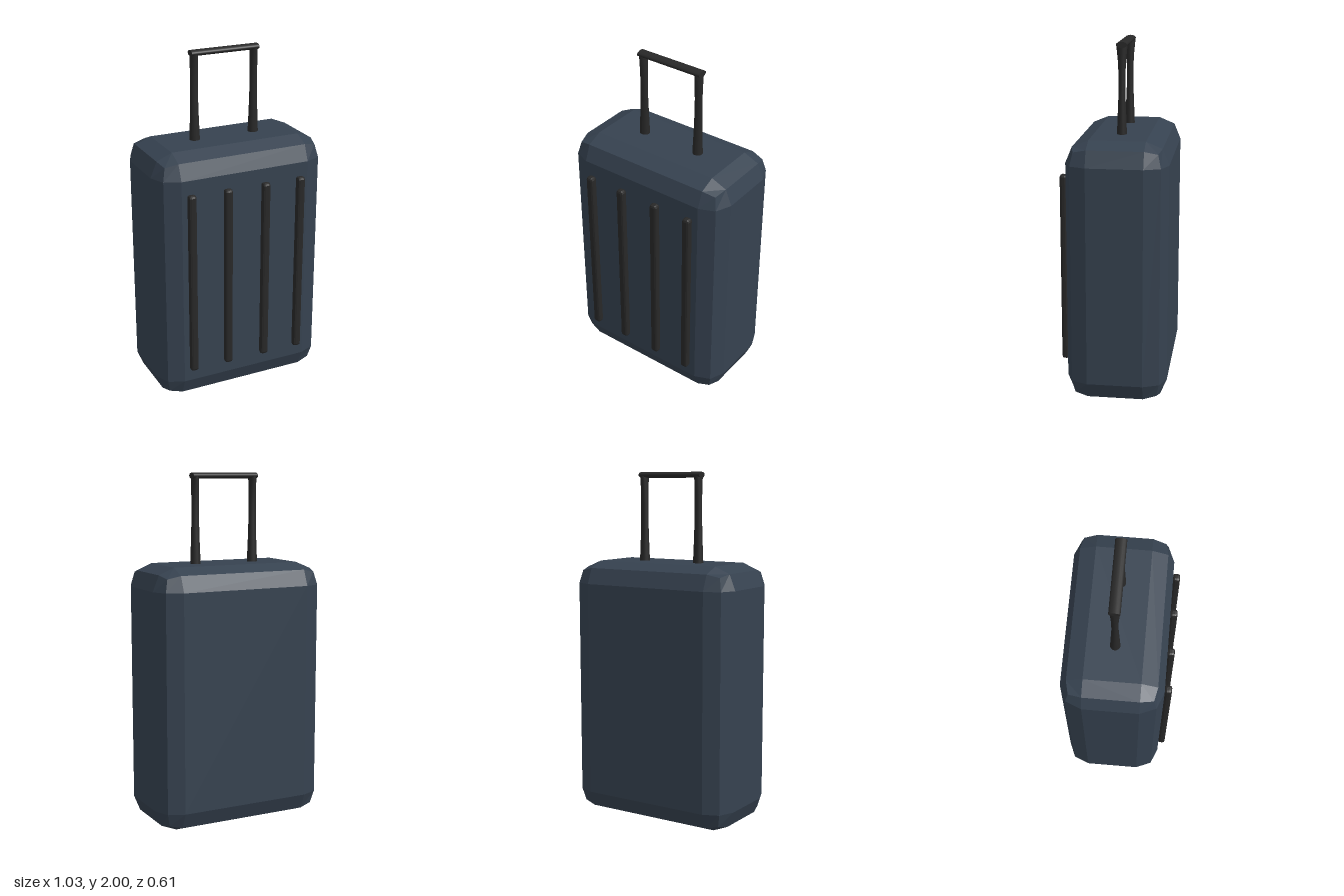
import * as THREE from 'three';
import { RoundedBoxGeometry } from 'three/addons/geometries/RoundedBoxGeometry.js';

const Z = -0.0225; // depth centre of the shell and handle

// Box with two-facet bevels and flat normals
function bevelBox(w, h, d, r) {
  const g = new RoundedBoxGeometry(w, h, d, 1, r);
  g.computeVertexNormals();
  return g;
}

export function createModel() {
  const shellBlue = new THREE.MeshStandardMaterial({ color: 0x364250, flatShading: true });
  shellBlue.name = 'slateBlue';
  const trimFlat = new THREE.MeshStandardMaterial({ color: 0x282828, flatShading: true });
  trimFlat.name = 'charcoalTrim';
  const trimSmooth = new THREE.MeshStandardMaterial({ color: 0x282828 });
  trimSmooth.name = 'charcoalHandle';

  const model = new THREE.Group();
  model.name = 'suitcase';
  const add = (parent, name, geometry, material, x, y, z) => {
    const mesh = new THREE.Mesh(geometry, material);
    mesh.name = name;
    mesh.position.set(x, y, z);
    parent.add(mesh);
    return mesh;
  };

  // Hard shell
  add(model, 'shell', bevelBox(1.026, 1.488, 0.565, 0.127), shellBlue, 0, 0.749, Z);

  // Upright ribs on the front
  const ribs = new THREE.Group();
  ribs.name = 'frontRibs';
  model.add(ribs);
  [-0.335, -0.118, 0.113, 0.332].forEach((x, i) =>
    add(ribs, `rib${i + 1}`, bevelBox(0.047, 1.08, 0.042, 0.014), trimFlat, x, 0.75, 0.28));

  // Pull handle: waisted legs that flare front to back where they meet the grip
  const handle = new THREE.Group();
  handle.name = 'pullHandle';
  model.add(handle);
  const sections = [ // y, half width, half depth
    [1.45, 0.03, 0.03], [1.52, 0.029, 0.027], [1.62, 0.025, 0.023], [1.72, 0.0225, 0.019],
    [1.82, 0.0215, 0.019], [1.9, 0.0215, 0.023], [1.96, 0.0215, 0.029], [1.985, 0.0215, 0.03],
  ];
  const legGeometry = new THREE.CylinderGeometry(1, 1, 1, 16, sections.length - 1, true);
  const p = legGeometry.attributes.position;
  for (let i = 0; i < p.count; i++) {
    const row = Math.round((p.getY(i) + 0.5) * (sections.length - 1));
    const [y, rx, rz] = sections[row];
    p.setXYZ(i, p.getX(i) * rx, y, p.getZ(i) * rz);
  }
  legGeometry.computeVertexNormals();
  for (const [name, side] of [['leftLeg', 1], ['rightLeg', -1]]) {
    add(handle, name, legGeometry, trimSmooth, side * 0.182, 0, Z);
  }

  // Grip: flattened rod across the top
  const gripGeometry = new THREE.CylinderGeometry(1, 1, 0.407, 16);
  gripGeometry.rotateZ(Math.PI / 2);
  gripGeometry.scale(1, 0.0165, 0.0305);
  add(handle, 'grip', gripGeometry, trimSmooth, 0, 1.9835, Z);

  return model;
}
